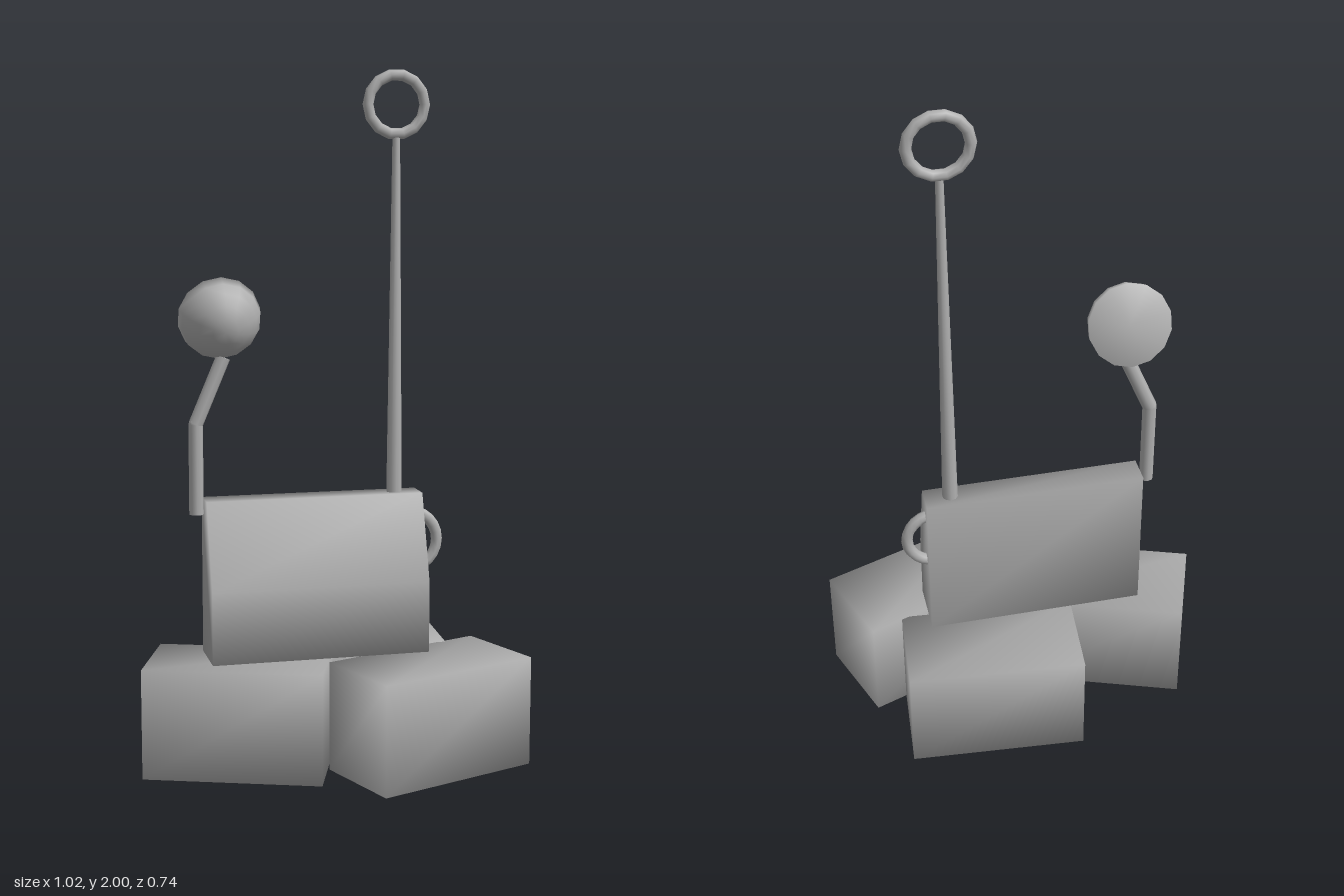
import * as THREE from 'three';
import { mergeVertices } from 'three/addons/utils/BufferGeometryUtils.js';

// Weld corners so shading runs smoothly over the edges
function soften(geometry) {
  geometry.deleteAttribute('normal');
  geometry.deleteAttribute('uv');
  const welded = mergeVertices(geometry, 1e-4);
  welded.computeVertexNormals();
  return welded;
}

export function createModel() {
  const model = new THREE.Group();
  const grey = new THREE.MeshStandardMaterial({ color: 0xb0b0b0 });
  grey.name = 'grey';

  function add(parent, name, geometry, x = 0, y = 0, z = 0) {
    const mesh = new THREE.Mesh(geometry, grey);
    mesh.name = name;
    mesh.position.set(x, y, z);
    parent.add(mesh);
    return mesh;
  }

  // Three equal foundation blocks: x, z, turn
  const blocks = [[0.237, 0.23, 0], [0.215, -0.135, -0.431], [-0.2225, -0.0775, -0.696]];
  for (const [x, z, turn] of blocks) {
    add(model, 'baseBlock', soften(new THREE.BoxGeometry(0.515, 0.32, 0.28)), x, 0.16, z).rotation.y = turn;
  }

  // Everything above the blocks shares one turned frame
  const upper = new THREE.Group();
  upper.name = 'upperAssembly';
  upper.position.set(0.007, 0, -0.022);
  upper.rotation.y = -0.351;
  model.add(upper);

  // Case with a sloping upper front
  const profile = new THREE.Shape([
    [-0.0825, 0.322], [0.0825, 0.322], [0.0825, 0.78], [-0.0025, 0.78], [-0.0825, 0.53],
  ].map(([x, y]) => new THREE.Vector2(x, y)));
  const caseGeometry = new THREE.ExtrudeGeometry(profile, { depth: 0.64, bevelEnabled: false });
  caseGeometry.translate(0, 0, -0.32);
  caseGeometry.rotateY(Math.PI / 2);
  add(upper, 'case', soften(caseGeometry));

  // Side handle
  add(upper, 'sideHandle', new THREE.TorusGeometry(0.086, 0.017, 8, 12, Math.PI), 0.29, 0.633, -0.035)
    .rotation.z = -Math.PI / 2;

  // Mast with a ring on top
  add(upper, 'mast', new THREE.CylinderGeometry(0.011, 0.023, 1.06, 10), 0.245, 1.28, -0.038);
  add(upper, 'mastRing', new THREE.TorusGeometry(0.084, 0.016, 8, 14), 0.245, 1.9, -0.038);

  // Bent arm: straight pieces joined at rounded knees
  const arm = [[-0.344, 0.74], [-0.344, 1.0], [-0.263, 1.19]].map(([x, y]) => new THREE.Vector3(x, y, -0.031));
  for (let i = 0; i < 2; i++) {
    const span = arm[i + 1].clone().sub(arm[i]);
    const mid = arm[i].clone().lerp(arm[i + 1], 0.5);
    const piece = add(upper, 'dishArm', new THREE.CylinderGeometry(0.021, 0.021, span.length(), 8), mid.x, mid.y, mid.z);
    piece.quaternion.setFromUnitVectors(new THREE.Vector3(0, 1, 0), span.normalize());
  }
  add(upper, 'armKnee', new THREE.SphereGeometry(0.021, 8, 6), arm[1].x, arm[1].y, arm[1].z);

  // Half-round dish, flat side facing back and up
  const bowl = [new THREE.Vector2(0, 0)];
  for (let i = 0; i <= 5; i++) {
    const a = (i / 5) * Math.PI / 2;
    bowl.push(new THREE.Vector2(0.12 * Math.cos(a), 0.12 * Math.sin(a)));
  }
  add(upper, 'dish', soften(new THREE.LatheGeometry(bowl, 14)), -0.269, 1.303, -0.059)
    .rotation.x = Math.PI / 2 + 0.31;

  return model;
}
